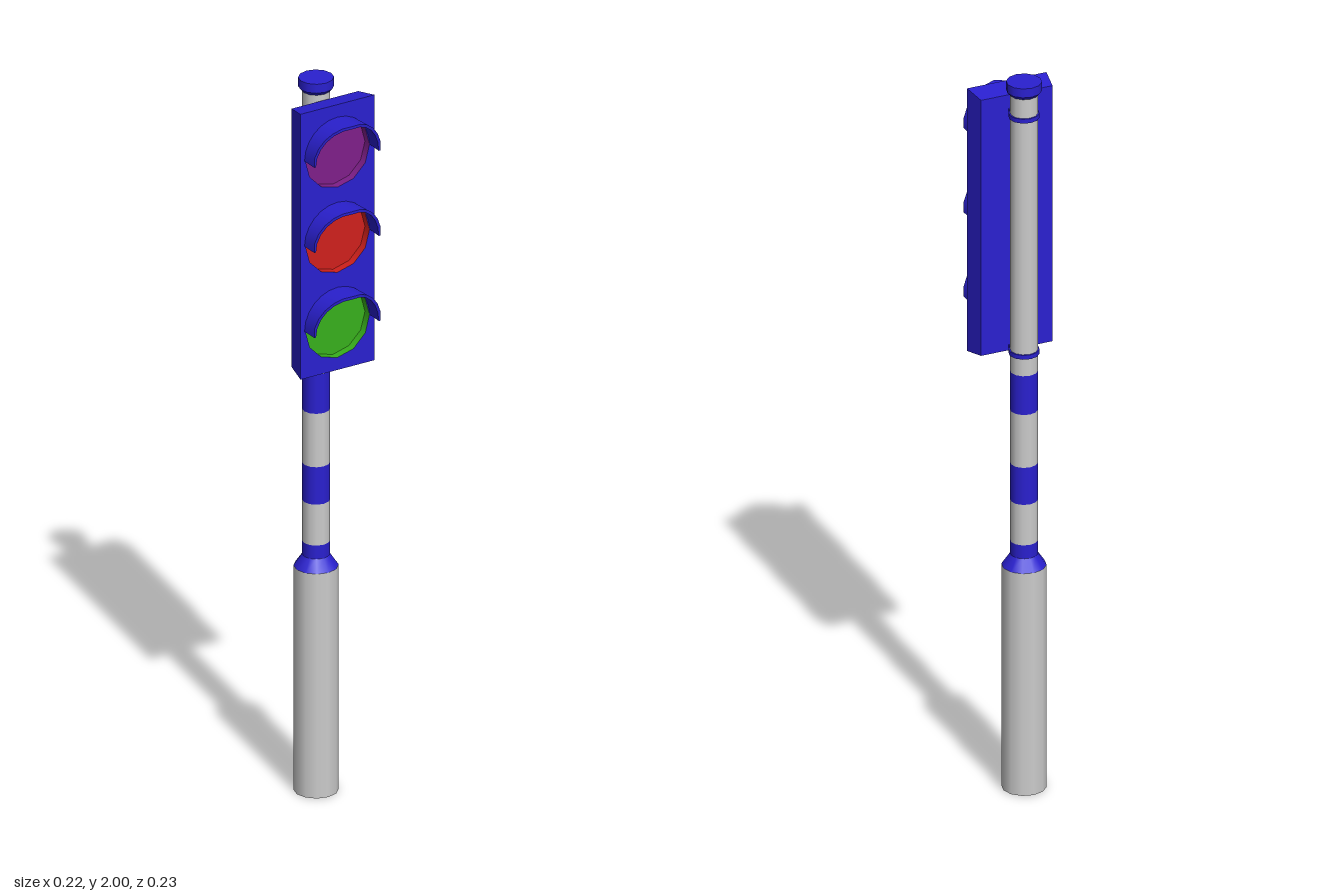
import * as THREE from 'three';

const mat = (color, side = THREE.FrontSide) => new THREE.MeshStandardMaterial({ color, side });
const POLE_X = -0.002, POLE_Z = -0.059, SIDES = 12;
const FRONT = 0.04, BACK = -0.02, LENS_R = 0.097;

export function createModel() {
  const model = new THREE.Group();
  model.name = 'trafficLight';
  const grey = mat(0xcccccc), blue = mat(0x2a20d0);
  const blueFlat = blue.clone();
  blueFlat.flatShading = true;

  const add = (name, geometry, material, parent = model) => {
    const mesh = new THREE.Mesh(geometry, material);
    mesh.name = name;
    parent.add(mesh);
    return mesh;
  };
  // Upright round section of the post between two heights
  const section = (name, y0, y1, r0, r1, material, open = false) => {
    const g = new THREE.CylinderGeometry(r1, r0, y1 - y0, SIDES, 1, open);
    add(name, g, material).position.set(POLE_X, (y0 + y1) / 2, POLE_Z);
  };

  // Post: wide base, collar, then grey and blue stripes
  section('base', 0, 0.63, 0.058, 0.058, grey);
  section('collar', 0.63, 0.662, 0.058, 0.036, blue);
  const stripes = [0.662, 0.7, 0.815, 0.92, 1.07, 1.18, 1.97];
  for (let i = 0; i < stripes.length - 1; i++) {
    const isBlue = i % 2 === 0;
    section(isBlue ? 'blueBand' : 'poleSection', stripes[i], stripes[i + 1], 0.036, 0.036, isBlue ? blue : grey, true);
  }
  section('capUnderside', 1.965, 1.975, 0.037, 0.046, blue);
  section('cap', 1.975, 2, 0.046, 0.046, blue);

  // Clamps holding the housing to the post
  for (const y of [1.235, 1.905]) {
    section('clamp', y - 0.006, y + 0.006, 0.04, 0.04, blue);
    add('clampBlock', new THREE.BoxGeometry(0.05, 0.012, 0.03), blue).position.set(POLE_X, y, BACK - 0.01);
  }

  // Housing shell: tapered box without its front face
  const rect = (w, y0, y1, z) => [[-w, y0, z], [w, y0, z], [w, y1, z], [-w, y1, z]];
  const front = rect(0.112, 1.215, 1.96, FRONT);
  const back = rect(0.101, 1.225, 1.95, BACK);
  const pos = [];
  const quad = (a, b, c, d) => pos.push(...a, ...b, ...c, ...a, ...c, ...d);
  for (let i = 0; i < 4; i++) {
    const j = (i + 1) % 4;
    quad(front[i], back[i], back[j], front[j]);
  }
  quad(back[1], back[0], back[3], back[2]);
  const shell = new THREE.BufferGeometry();
  shell.setAttribute('position', new THREE.Float32BufferAttribute(pos, 3));
  shell.computeVertexNormals();
  add('housing', shell, blueFlat);

  // Front plate with one round opening per lamp
  const lamps = [
    { name: 'upperLamp', y: 1.825, color: 0x7f1f8a },
    { name: 'middleLamp', y: 1.586, color: 0xd0201c },
    { name: 'lowerLamp', y: 1.347, color: 0x38b01c },
  ];
  const plate = new THREE.Shape(front.map(([x, y]) => new THREE.Vector2(x, y)));
  for (const { y } of lamps) {
    const hole = [];
    for (let i = 0; i < SIDES; i++) {
      const a = -i / SIDES * Math.PI * 2;
      hole.push(new THREE.Vector2(Math.cos(a) * LENS_R, y + Math.sin(a) * LENS_R));
    }
    plate.holes.push(new THREE.Path(hole));
  }
  add('frontPlate', new THREE.ShapeGeometry(plate), blueFlat).position.z = FRONT;

  // Lamps: recessed lens, its surrounding wall and a hood
  const depth = 0.022;
  for (const { name, y, color } of lamps) {
    const lamp = new THREE.Group();
    lamp.name = name;
    lamp.position.set(0, y, FRONT);
    model.add(lamp);
    add('lens', new THREE.CircleGeometry(LENS_R, SIDES), mat(color), lamp).position.z = -depth;
    const wall = new THREE.CylinderGeometry(LENS_R, LENS_R, depth, SIDES, 1, true);
    wall.rotateY(Math.PI / 2).rotateX(Math.PI / 2);
    add('recessWall', wall, mat(color, THREE.DoubleSide), lamp).position.z = -depth / 2;
    add('hood', hoodGeometry(), mat(0x2a20d0, THREE.DoubleSide), lamp);
  }
  return model;
}

// Half-round hood, longest at the top, with a thin rim
function hoodGeometry() {
  const steps = 12, pos = [], index = [];
  for (let i = 0; i <= steps; i++) {
    const a = i / steps * Math.PI, c = Math.cos(a), s = Math.sin(a);
    const reach = 0.047 + 0.028 * (1 - Math.abs(c));
    // Outer root, outer lip, inner lip, inner root; lips doubled for crisp edges
    const ring = [[0.1, 0], [0.103, reach], [0.103, reach], [0.095, reach], [0.095, reach], [0.097, 0]];
    for (const [r, z] of ring) pos.push(Math.min(0.1, Math.max(-0.1, c * r)), s * r, z);
  }
  for (let i = 0; i < steps; i++) {
    for (const k of [0, 2, 4]) {
      const a = i * 6 + k, b = a + 6;
      index.push(a, b, a + 1, b, b + 1, a + 1);
    }
  }
  const g = new THREE.BufferGeometry();
  g.setAttribute('position', new THREE.Float32BufferAttribute(pos, 3));
  // Wind faces so that the outer skin looks outward
  for (let i = 0; i < index.length; i += 3) [index[i + 1], index[i + 2]] = [index[i + 2], index[i + 1]];
  g.setIndex(index);
  g.computeVertexNormals();
  return g;
}
